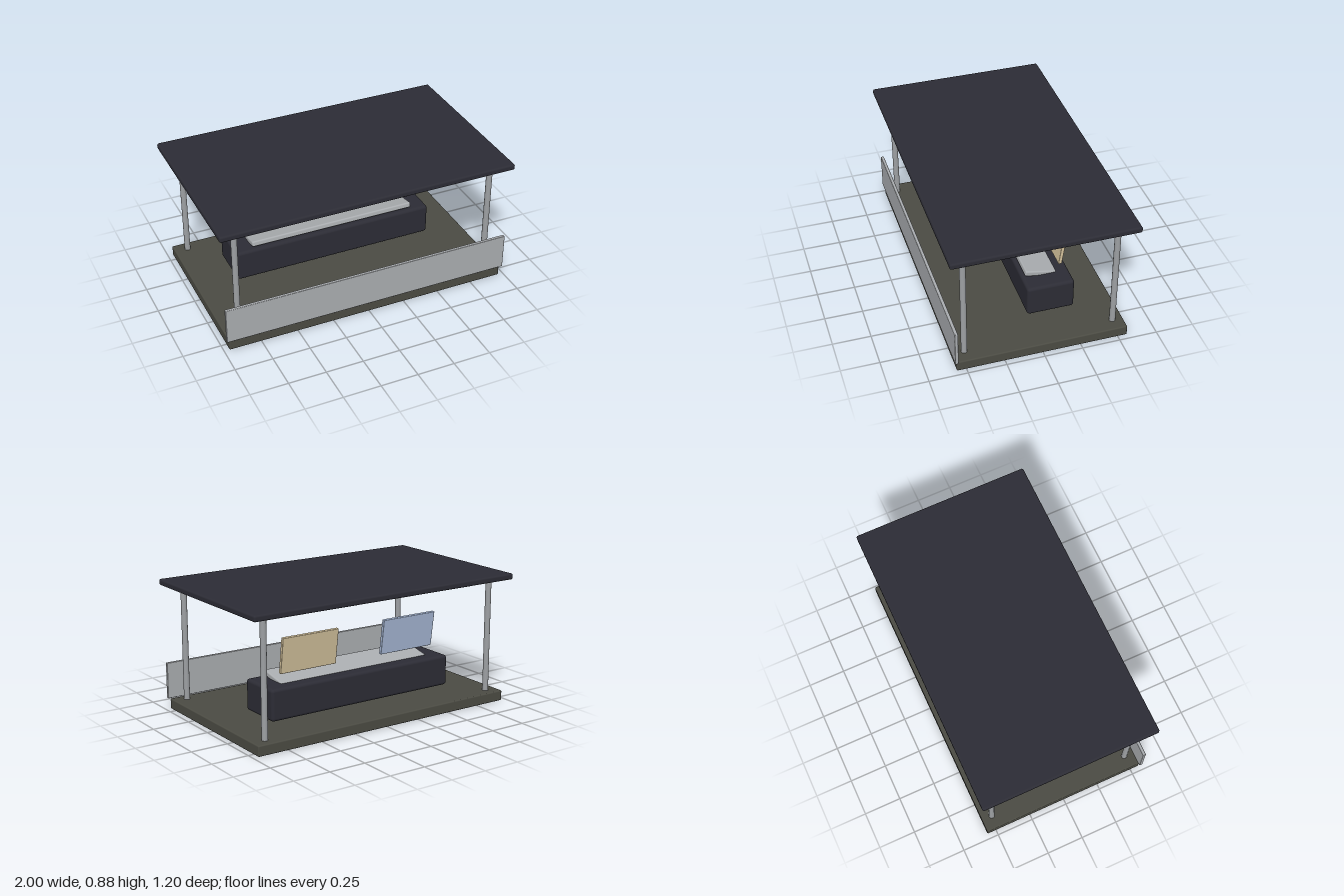
import * as THREE from 'three';
import { RoundedBoxGeometry } from 'three/addons/geometries/RoundedBoxGeometry.js';

const material = (name, color) => {
  const m = new THREE.MeshStandardMaterial({ color });
  m.name = name;
  return m;
};

export function createModel() {
  const group = new THREE.Group();
  const charcoal = material('charcoal', 0x2c2c35);
  const olive = material('olive grey', 0x4b4b43);
  const silver = material('silver', 0xaaadb0);
  const steel = material('post steel', 0x9da0a3);
  const blue = material('pale blue', 0xaabcda);
  const tan = material('tan', 0xd6c49e);

  // Rounded slab given by its size, centre, edge radius and backward tilt
  const slab = (name, mat, [w, h, d], [x, y, z], radius, tilt = 0) => {
    const mesh = new THREE.Mesh(new RoundedBoxGeometry(w, h, d, 3, radius), mat);
    mesh.name = name;
    mesh.position.set(x, y, z);
    mesh.rotation.x = -tilt;
    group.add(mesh);
  };

  // Platform, roof and front barrier
  slab('floor', olive, [1.93, 0.07, 1.125], [0, 0.035, 0], 0.008);
  slab('roof', charcoal, [2, 0.04, 1.195], [0, 0.862, 0], 0.012);
  slab('frontPanel', silver, [1.965, 0.245, 0.022], [0, 0.196, 0.565], 0.005);

  // Desk and its sloping control surface
  slab('console', charcoal, [1.4, 0.21, 0.315], [0, 0.195, -0.138], 0.02);
  slab('controlSurface', silver, [1.16, 0.037, 0.208], [0, 0.308, -0.106], 0.01, 0.2);

  // Two screens leaning back
  slab('rightScreen', blue, [0.42, 0.242, 0.023], [-0.39, 0.495, -0.245], 0.004, 0.14);
  slab('leftScreen', tan, [0.42, 0.242, 0.023], [0.39, 0.495, -0.245], 0.004, 0.14);

  // Corner posts
  const postGeometry = new THREE.CylinderGeometry(0.02, 0.02, 0.785, 12);
  for (const x of [-0.877, 0.877]) {
    for (const z of [-0.491, 0.491]) {
      const post = new THREE.Mesh(postGeometry, steel);
      post.name = 'cornerPost';
      post.position.set(x, 0.455, z);
      group.add(post);
    }
  }
  return group;
}
